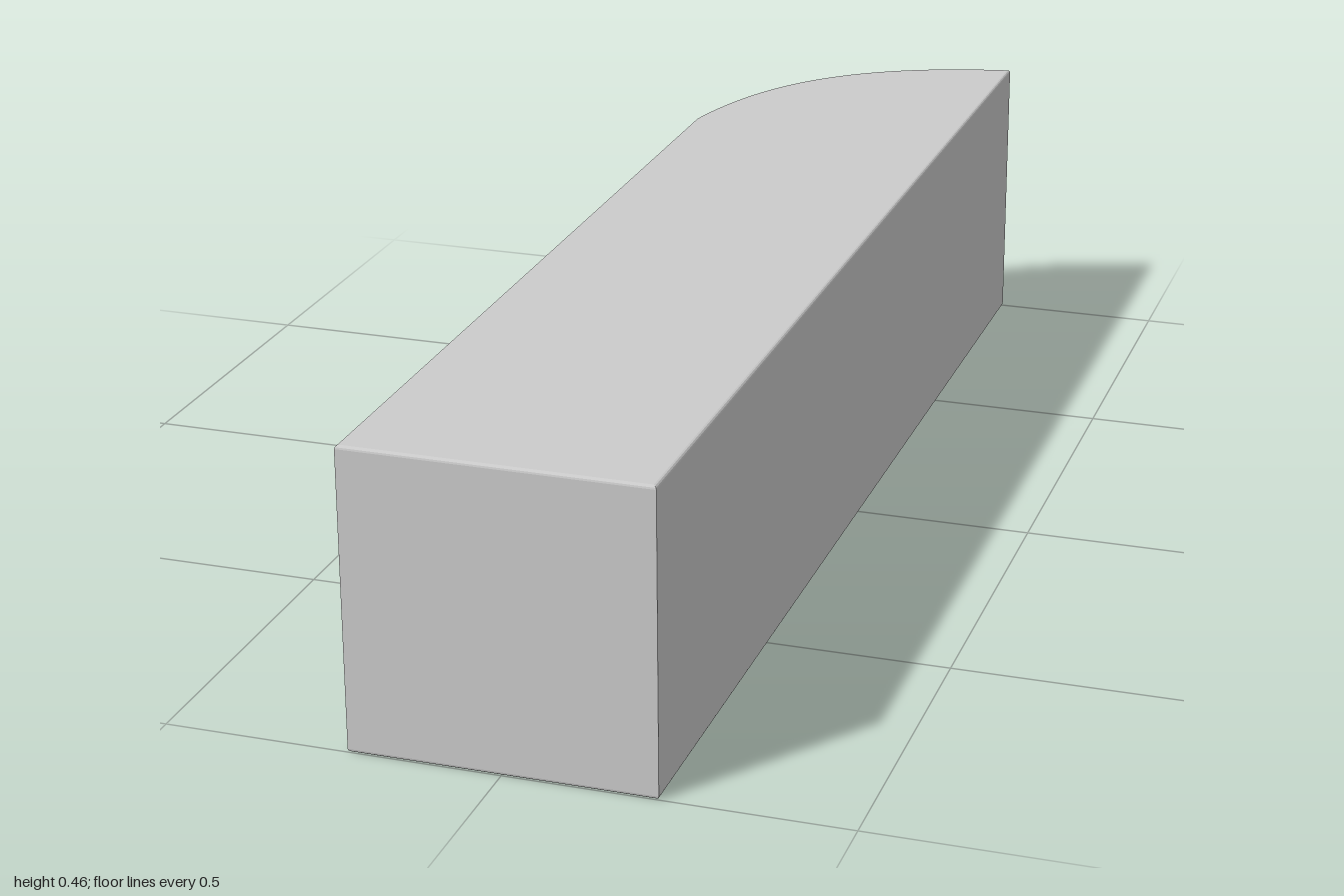
import * as THREE from 'three';
import { toCreasedNormals } from 'three/addons/utils/BufferGeometryUtils.js';

const W = 0.225, H = 0.455;            // half width, height
const WALL = 0.045, BASE = 0.042, TOP = 0.064; // board thicknesses
const CURVE_Z = -0.545;                // where the rounded end begins

export function createModel() {
  const group = new THREE.Group();
  group.name = 'shelfUnit';
  const material = new THREE.MeshStandardMaterial({ color: 0xcccccc });

  // Horizontal outline (given in x, z) raised from y0 to y1, edges rounded by r
  function board(name, shape, y0, y1, r = 0) {
    let geo = new THREE.ExtrudeGeometry(shape, {
      depth: y1 - y0 - 2 * r, curveSegments: 28, bevelEnabled: r > 0,
      bevelThickness: r, bevelSize: r, bevelOffset: -r, bevelSegments: 3,
    });
    geo.rotateX(-Math.PI / 2);
    geo.translate(0, y0 + r, 0);
    geo = toCreasedNormals(geo, 0.2);
    const mesh = new THREE.Mesh(geo, material);
    mesh.name = name;
    group.add(mesh);
  }

  const polygon = (points) =>
    new THREE.Shape(points.map(([x, z]) => new THREE.Vector2(x, -z)));
  const rect = (x0, x1, z0, z1) => polygon([[x0, z1], [x1, z1], [x1, z0], [x0, z0]]);

  // Outline with the swept end; inset pulls the open edges inwards
  function sweptOutline(xBack, zFront, inset) {
    const s = new THREE.Shape();
    s.moveTo(-W + inset, -zFront);
    s.lineTo(xBack, -zFront);
    s.lineTo(xBack, 1 - inset);
    s.bezierCurveTo(-0.06 + inset, 0.95 - inset, -0.18 + inset, 0.78 - inset, -W + inset, -CURVE_Z);
    s.closePath();
    return s;
  }

  // Base and top boards
  board('base', sweptOutline(W, 1, 0), 0, BASE, 0.005);
  board('top', sweptOutline(W, 1, 0), H - TOP, H, 0.005);

  // Uprights, let into the base and top
  const y0 = 0.006, y1 = H - 0.006;
  board('backWall', polygon([[W - WALL, 1], [W, 1], [W, -1], [W - WALL, -0.989]]), y0, y1);
  board('endWall', rect(-W, W, 0.945, 1), y0, y1);
  board('divider', rect(-W, W, CURVE_Z, CURVE_Z + 0.06), y0, y1);

  // Hollow fillet in the inner corner of the rounded compartment
  const fillet = new THREE.Shape();
  fillet.moveTo(W - WALL + 0.01, -CURVE_Z - 0.01);
  fillet.lineTo(W - WALL + 0.01, 0.76);
  fillet.lineTo(W - WALL, 0.76);
  fillet.quadraticCurveTo(0.145, 0.6, 0.04, -CURVE_Z);
  fillet.lineTo(0.04, -CURVE_Z - 0.01);
  fillet.closePath();
  board('cornerFillet', fillet, y0, y1);

  // Middle shelves with rounded edges
  board('longShelf', rect(-W + 0.008, W - 0.02, CURVE_Z + 0.03, 0.98), 0.175, 0.21, 0.015);
  board('roundedShelf', sweptOutline(W - 0.02, CURVE_Z + 0.03, 0.002), 0.175, 0.217, 0.018);

  return group;
}
